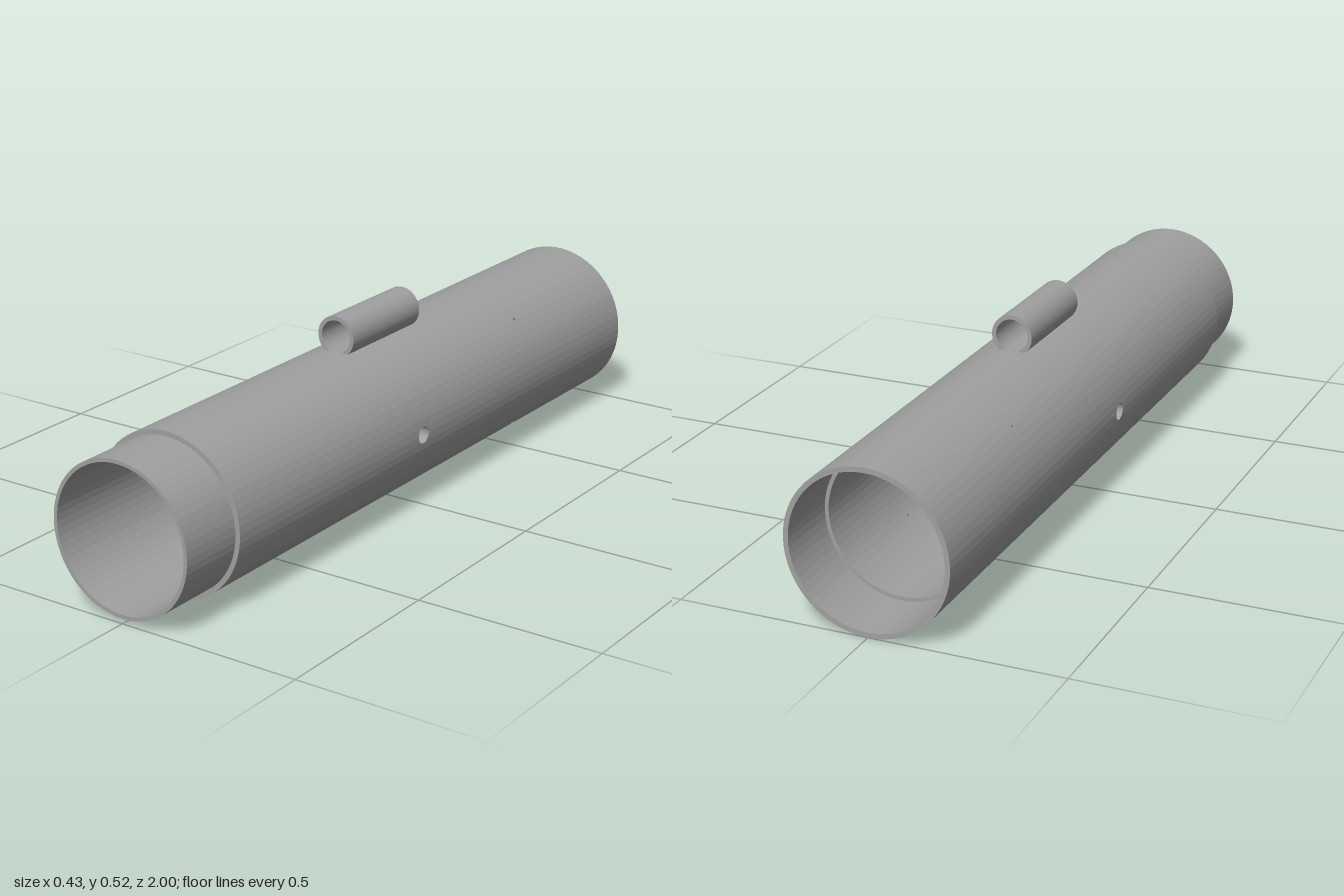
import * as THREE from 'three';

const SEG = 64, STEP = (Math.PI * 2) / SEG, CY = 0.213;
const R_OUT = 0.213, R_MID = 0.2, R_IN = 0.19;

// Drilled holes: angle in facets, z, radius, half-width of the surrounding patch in facets
const HOLES = [];
for (const at of [0, 32]) HOLES.push({ at, z: 0.04, r: 0.023, k: 2 });
for (const at of [8, 24, 40, 56]) HOLES.push({ at, z: -0.51, r: 0.006, k: 1 });
const half = (h) => h.k * STEP * R_OUT;

const point = (r, a, z) => [r * Math.cos(a), CY + r * Math.sin(a), z];

function bodyGeometry() {
  const pos = [];
  const quad = (a, b, c, d) => pos.push(...a, ...b, ...c, ...a, ...c, ...d);

  // A ring of facets between two profile points, leaving out the drilled patches
  const band = (r0, z0, r1, z1) => {
    const zm = (z0 + z1) / 2;
    for (let i = 0; i < SEG; i++) {
      const drilled = r0 === r1 && HOLES.some((h) => {
        const off = (i + 0.5 - h.at + SEG * 1.5) % SEG - SEG / 2;
        return Math.abs(off) < h.k && Math.abs(zm - h.z) < half(h) * 0.99;
      });
      if (drilled) continue;
      const a = i * STEP, b = a + STEP;
      quad(point(r0, a, z0), point(r0, b, z0), point(r1, b, z1), point(r1, a, z1));
    }
  };

  // Closed wall profile: spigot at the front, socket with a ledge at the back
  const cuts = [-0.51 - half(HOLES[2]), -0.51 + half(HOLES[2]),
    0.04 - half(HOLES[0]), 0.04 + half(HOLES[0])];
  const profile = [
    [R_OUT, -1], ...cuts.map((z) => [R_OUT, z]), [R_OUT, 0.82],
    [R_MID, 0.82], [R_MID, 1], [R_IN, 1],
    ...cuts.slice().reverse().map((z) => [R_IN, z]), [R_IN, -0.82],
    [R_MID, -0.82], [R_MID, -1], [R_OUT, -1],
  ];
  for (let i = 0; i + 1 < profile.length; i++) band(...profile[i], ...profile[i + 1]);

  // Patches around each hole on both wall faces, and the bore joining them
  const n = 32;
  for (const h of HOLES) {
    const rim = (R, j) => {
      const p = (j / n) * Math.PI * 2;
      return point(R, h.at * STEP + Math.asin((h.r * Math.cos(p)) / R), h.z + h.r * Math.sin(p));
    };
    const edge = (R, j) => {
      const p = (j / n) * Math.PI * 2, c = Math.cos(p), s = Math.sin(p);
      const m = Math.max(Math.abs(c), Math.abs(s));
      return point(R, (h.at + (h.k * c) / m) * STEP, h.z + (half(h) * s) / m);
    };
    for (let j = 0; j < n; j++) {
      quad(rim(R_OUT, j), edge(R_OUT, j), edge(R_OUT, j + 1), rim(R_OUT, j + 1));
      quad(rim(R_IN, j), rim(R_IN, j + 1), edge(R_IN, j + 1), edge(R_IN, j));
      quad(rim(R_OUT, j), rim(R_OUT, j + 1), rim(R_IN, j + 1), rim(R_IN, j));
    }
  }

  const geo = new THREE.BufferGeometry();
  geo.setAttribute('position', new THREE.Float32BufferAttribute(pos, 3));
  geo.computeVertexNormals();
  return geo;
}

// Small C-shaped tube whose open underside is sunk into the body wall
function guideGeometry() {
  const gap = 0.38, start = -Math.PI / 2 + gap, end = Math.PI * 1.5 - gap;
  const shape = new THREE.Shape();
  shape.absarc(0, 0, 0.055, start, end, false);
  shape.absarc(0, 0, 0.0435, end, start, true);
  shape.closePath();
  return new THREE.ExtrudeGeometry(shape, { depth: 0.305, bevelEnabled: false, curveSegments: 40 });
}

export function createModel() {
  const grey = new THREE.MeshStandardMaterial({ color: 0xa0a0a0 });
  grey.name = 'grey';

  const model = new THREE.Group();
  model.name = 'tubeSection';

  const body = new THREE.Mesh(bodyGeometry(), grey);
  body.name = 'bodyTube';
  model.add(body);

  const guide = new THREE.Mesh(guideGeometry(), grey);
  guide.name = 'guideTube';
  guide.position.set(0, 0.465, -0.175);
  model.add(guide);

  return model;
}
